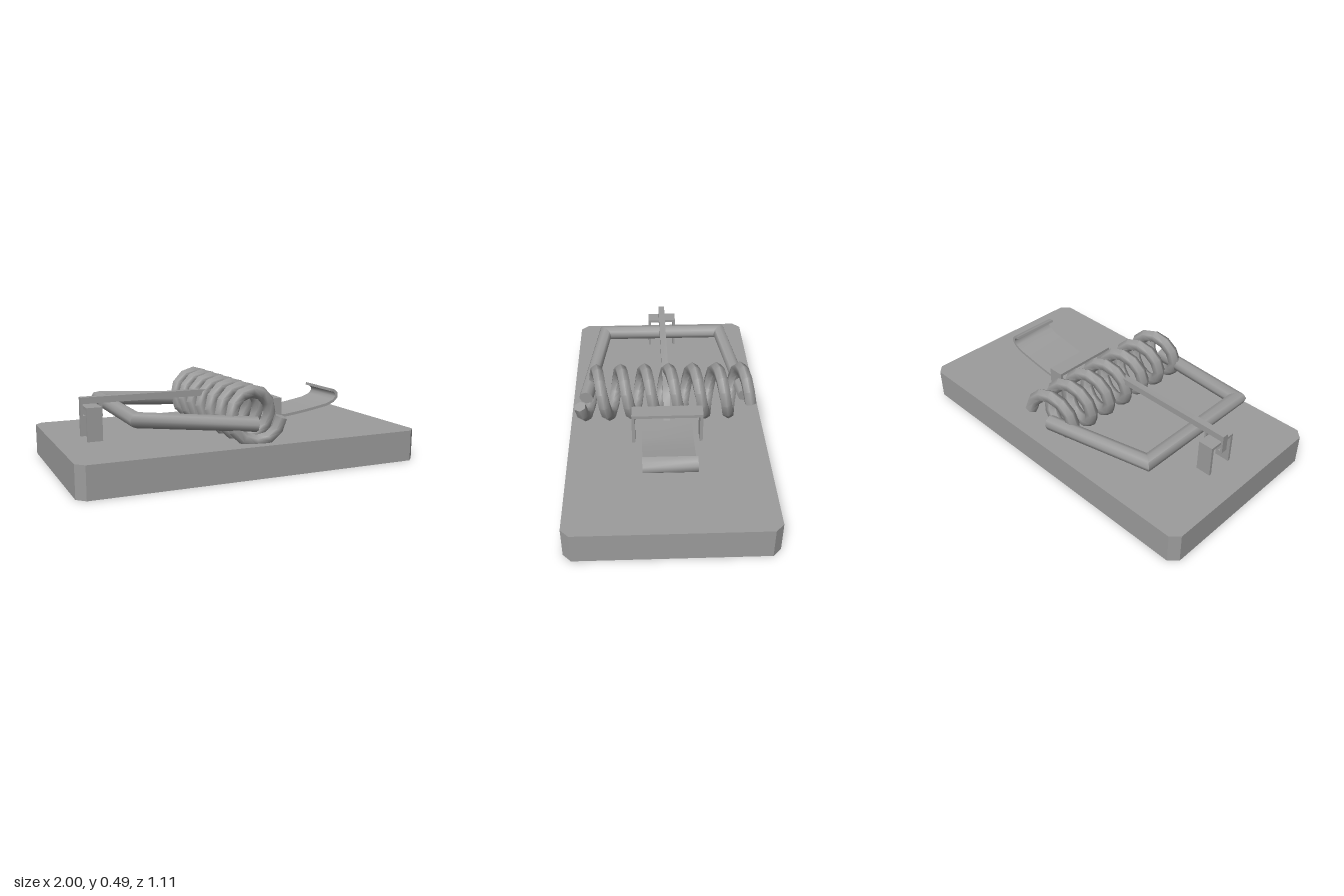
import * as THREE from 'three';
import { toCreasedNormals } from 'three/addons/utils/BufferGeometryUtils.js';

const material = new THREE.MeshStandardMaterial({ color: 0x9c9c9c });
const V = (x, y, z) => new THREE.Vector3(x, y, z);

// Round wire with mitred joints along a list of points; ref is the normal of the bend plane.
function wire(points, radius, sides, ref) {
  const n = points.length - 1;
  const geo = new THREE.CylinderGeometry(radius, radius, n, sides, n);
  const rings = points.map((p, i) => {
    const before = points[Math.max(i - 1, 0)], after = points[Math.min(i + 1, n)];
    const d1 = (i > 0 ? p.clone().sub(before) : after.clone().sub(p)).normalize();
    const d2 = (i < n ? after.clone().sub(p) : d1.clone()).normalize();
    const t = d1.clone().add(d2).normalize();
    const b = ref.clone().cross(t).normalize();
    const a = t.clone().cross(b);
    return { p, a, b: b.divideScalar(t.dot(d1)) };
  });
  const pos = geo.attributes.position;
  for (let k = 0; k < pos.count; k++) {
    const { p, a, b } = rings[Math.round(pos.getY(k) + n / 2)];
    const v = p.clone().addScaledVector(a, pos.getX(k)).addScaledVector(b, pos.getZ(k));
    pos.setXYZ(k, v.x, v.y, v.z);
  }
  return toCreasedNormals(geo, 1.15);
}

// Flat strip following an x/y path, with the given thickness, and width along z.
function strip(path, thickness, width) {
  const pts = path.map(([x, y]) => new THREE.Vector2(x, y));
  const n = pts.length - 1;
  const offset = (side) => pts.map((p, i) => {
    const d1 = i > 0 ? p.clone().sub(pts[i - 1]).normalize() : pts[1].clone().sub(p).normalize();
    const d2 = i < n ? pts[i + 1].clone().sub(p).normalize() : d1;
    const t = d1.clone().add(d2).normalize();
    const s = side * thickness / 2 / t.dot(d1);
    return new THREE.Vector2(p.x - t.y * s, p.y + t.x * s);
  });
  const shape = new THREE.Shape([...offset(-1), ...offset(1).reverse()]);
  const geo = new THREE.ExtrudeGeometry(shape, { depth: width, bevelEnabled: false });
  return toCreasedNormals(geo.translate(0, 0, -width / 2), 0.9);
}

export function createModel() {
  const model = new THREE.Group();
  const add = (name, geo, parent = model) => {
    const mesh = new THREE.Mesh(geo, material);
    mesh.name = name;
    parent.add(mesh);
    return mesh;
  };

  // Wooden base with cut corners
  const X = 1, Z = 0.555, C = 0.045, H = 0.178;
  const outline = new THREE.Shape([
    [X, C - Z], [X, Z - C], [X - C, Z], [C - X, Z],
    [-X, Z - C], [-X, C - Z], [C - X, -Z], [X - C, -Z],
  ].map(([x, z]) => new THREE.Vector2(x, z)));
  const base = new THREE.ExtrudeGeometry(outline, { depth: H, bevelEnabled: false });
  add('base', base.rotateX(-Math.PI / 2));

  // Coil spring, seven turns along z
  const turns = 7, steps = 12, coil = [];
  for (let i = 0; i <= turns * steps; i++) {
    const a = -i / steps * Math.PI * 2;
    coil.push(V(0.132 * Math.cos(a), 0.316 + 0.132 * Math.sin(a), 0.495 - 0.14 * i / steps));
  }
  add('spring', wire(coil, 0.036, 6, V(0, 0, 1)));

  // Snapping wire frame
  const frame = [
    V(0, 0.28, 0.468), V(-0.642, 0.337, 0.37), V(-0.642, 0.337, -0.37), V(0, 0.28, -0.468),
  ];
  add('snapFrame', wire(frame, 0.042, 8, V(0.057, 0.642, 0).normalize()));

  // Arched brackets: two legs and a top plate
  const bracket = (name, x, length, top, halfWidth, thick) => {
    const group = new THREE.Group();
    group.name = name;
    for (const side of [-1, 1]) {
      add('bracketLeg', new THREE.BoxGeometry(length, top - H, thick), group)
        .position.set(x, (top + H) / 2, side * (halfWidth - thick / 2));
    }
    add('bracketTop', new THREE.BoxGeometry(length, thick, 2 * (halfWidth - thick)), group)
      .position.set(x, top - thick / 2, 0);
    model.add(group);
  };
  bracket('pedalBracket', 0.249, 0.09, 0.362, 0.2, 0.018);
  bracket('latchBracket', -0.787, 0.086, 0.365, 0.088, 0.016);

  // Holding bar, curving down to the pedal, with a clip over the latch bracket
  add('holdingBar', strip([
    [-0.845, 0.394], [0.06, 0.394], [0.11, 0.375], [0.147, 0.33], [0.185, 0.25],
  ], 0.036, 0.038));
  for (const x of [-0.839, -0.73]) {
    add('barClip', new THREE.BoxGeometry(0.012, 0.08, 0.038)).position.set(x, 0.342, 0);
  }
  for (const x of [-0.832, -0.737]) {
    add('clipLip', new THREE.BoxGeometry(0.024, 0.01, 0.038)).position.set(x, 0.306, 0);
  }

  // Curved bait pedal with a curled end
  add('pedal', strip([
    [0.165, 0.245], [0.35, 0.243], [0.44, 0.254], [0.53, 0.268], [0.64, 0.288],
    [0.685, 0.307], [0.708, 0.33], [0.706, 0.355], [0.69, 0.37], [0.66, 0.378],
  ], 0.016, 0.286));

  return model;
}
